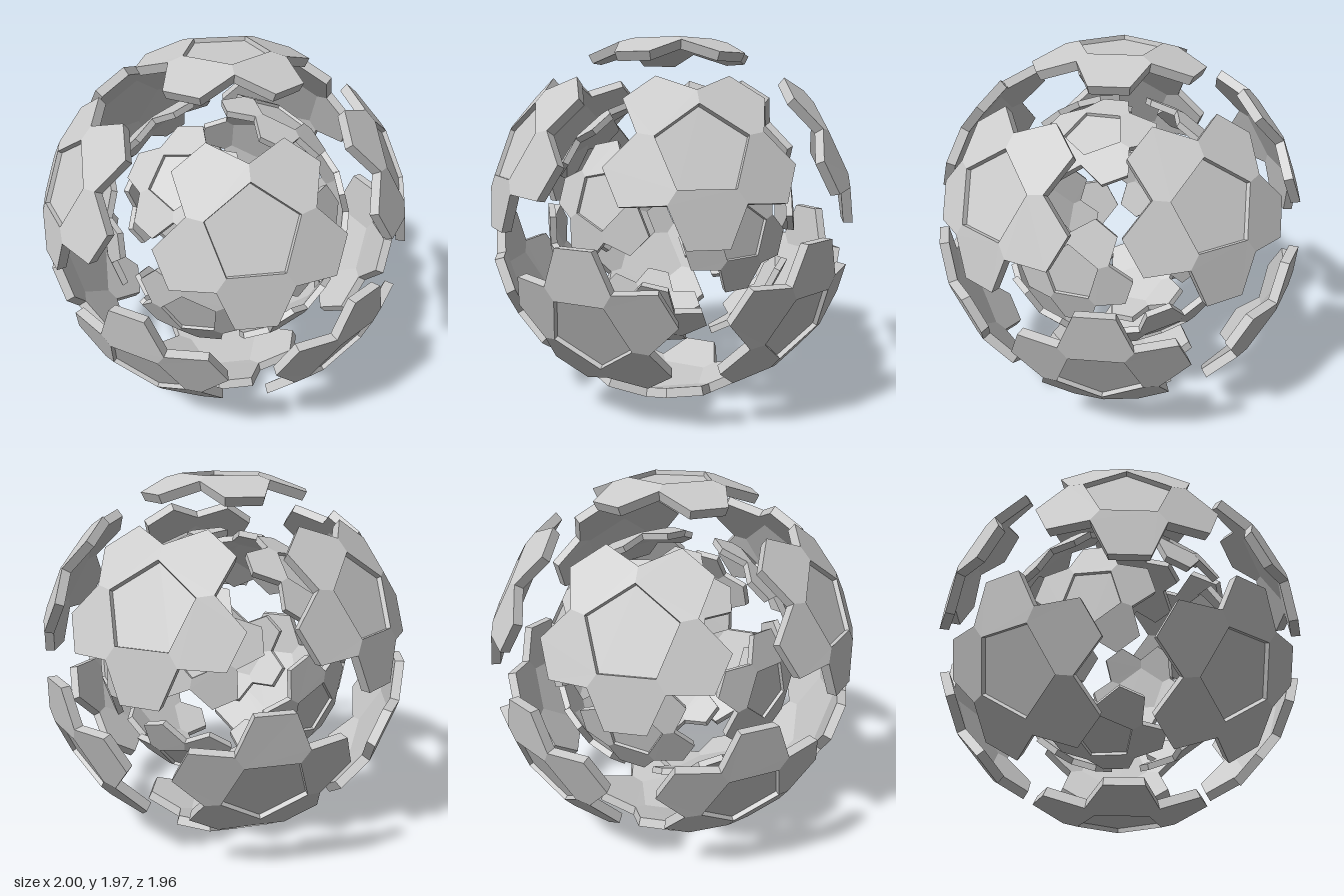
import * as THREE from 'three';

const TILT = Math.atan(2); // angle between neighbouring flower axes
const STEP = Math.PI * 2 / 5;

// Point from polar angle position (radius, azimuth) at a height on the flower axis
const polar = (r, a, h) => new THREE.Vector3(r * Math.cos(a), h, -r * Math.sin(a));

// Solid plate between a polygon and its copies scaled towards the sphere centre
function addPlate(out, poly, outer, inner) {
  const top = poly.map(p => p.clone().multiplyScalar(outer));
  const low = poly.map(p => p.clone().multiplyScalar(inner));
  const tri = (...pts) => pts.forEach(p => out.push(p.x, p.y, p.z));
  const n = poly.length;
  for (let i = 0; i < n; i++) {
    const j = (i + 1) % n;
    if (i > 0 && j > 0) {
      tri(top[0], top[i], top[j]);
      tri(low[0], low[j], low[i]);
    }
    tri(top[i], low[i], low[j]);
    tri(top[i], low[j], top[j]);
  }
}

function toGeometry(positions) {
  const geo = new THREE.BufferGeometry();
  geo.setAttribute('position', new THREE.Float32BufferAttribute(positions, 3));
  geo.computeVertexNormals();
  return geo;
}

// Five hexagonal petals around a pentagon
function petalsGeometry() {
  const out = [];
  const tipAngle = Math.atan2(0.1, 0.44), tipR = Math.hypot(0.44, 0.1);
  for (let k = 0; k < 5; k++) {
    const a = k * STEP, b = a + STEP, m = a + STEP / 2;
    addPlate(out, [
      polar(0.23, b, 0.985), polar(0.23, a, 0.985),
      polar(0.31, a, 0.963), polar(tipR, m - tipAngle, 0.898),
      polar(tipR, m + tipAngle, 0.898), polar(0.31, b, 0.963),
    ], 1, 0.95);
  }
  return toGeometry(out);
}

// Slightly sunken pentagon in the middle of the petals
function pentagonGeometry() {
  const out = [];
  const poly = Array.from({ length: 5 }, (_, k) => polar(0.23, k * STEP, 0.985));
  addPlate(out, poly, 0.976, 0.95);
  return toGeometry(out);
}

export function createModel() {
  const material = new THREE.MeshStandardMaterial({ color: 0xcccccc, flatShading: true });
  const petals = petalsGeometry(), pentagon = pentagonGeometry();

  function flower() {
    const g = new THREE.Group();
    g.name = 'flower';
    const p = new THREE.Mesh(petals, material);
    p.name = 'hexagonPetals';
    const c = new THREE.Mesh(pentagon, material);
    c.name = 'pentagonCentre';
    g.add(p, c);
    return g;
  }

  // One pole flower and the ring of five around it
  function hemisphere(name) {
    const half = new THREE.Group();
    half.name = name;
    half.add(flower());
    for (let k = 0; k < 5; k++) {
      const f = flower();
      // turn a pentagon corner to the pole, tilt outwards, then spin into place
      f.rotation.set(0, Math.PI, 0);
      f.quaternion.premultiply(new THREE.Quaternion().setFromAxisAngle(new THREE.Vector3(0, 0, 1), -TILT));
      f.quaternion.premultiply(new THREE.Quaternion().setFromAxisAngle(new THREE.Vector3(0, 1, 0), k * STEP));
      half.add(f);
    }
    return half;
  }

  // Sphere of twelve flowers
  function shell(name) {
    const s = new THREE.Group();
    s.name = name;
    const lower = hemisphere('lowerHalf');
    lower.rotation.z = Math.PI;
    s.add(hemisphere('upperHalf'), lower);
    return s;
  }

  const model = new THREE.Group();
  model.name = 'nestedFlowerSpheres';
  const outer = shell('outerShell');

  // Inner shell: smaller and turned within the outer one
  const inner = shell('innerShell');
  const up = new THREE.Vector3(0.409, 0.903, -0.13).normalize();
  const side = new THREE.Vector3(-0.229, 0.696, 0.681);
  side.addScaledVector(up, -side.dot(up)).normalize();
  const front = new THREE.Vector3().crossVectors(side, up);
  inner.quaternion.setFromRotationMatrix(new THREE.Matrix4().makeBasis(side, up, front));
  inner.scale.setScalar(0.69);

  outer.position.y = inner.position.y = 0.985;
  model.add(outer, inner);
  return model;
}
